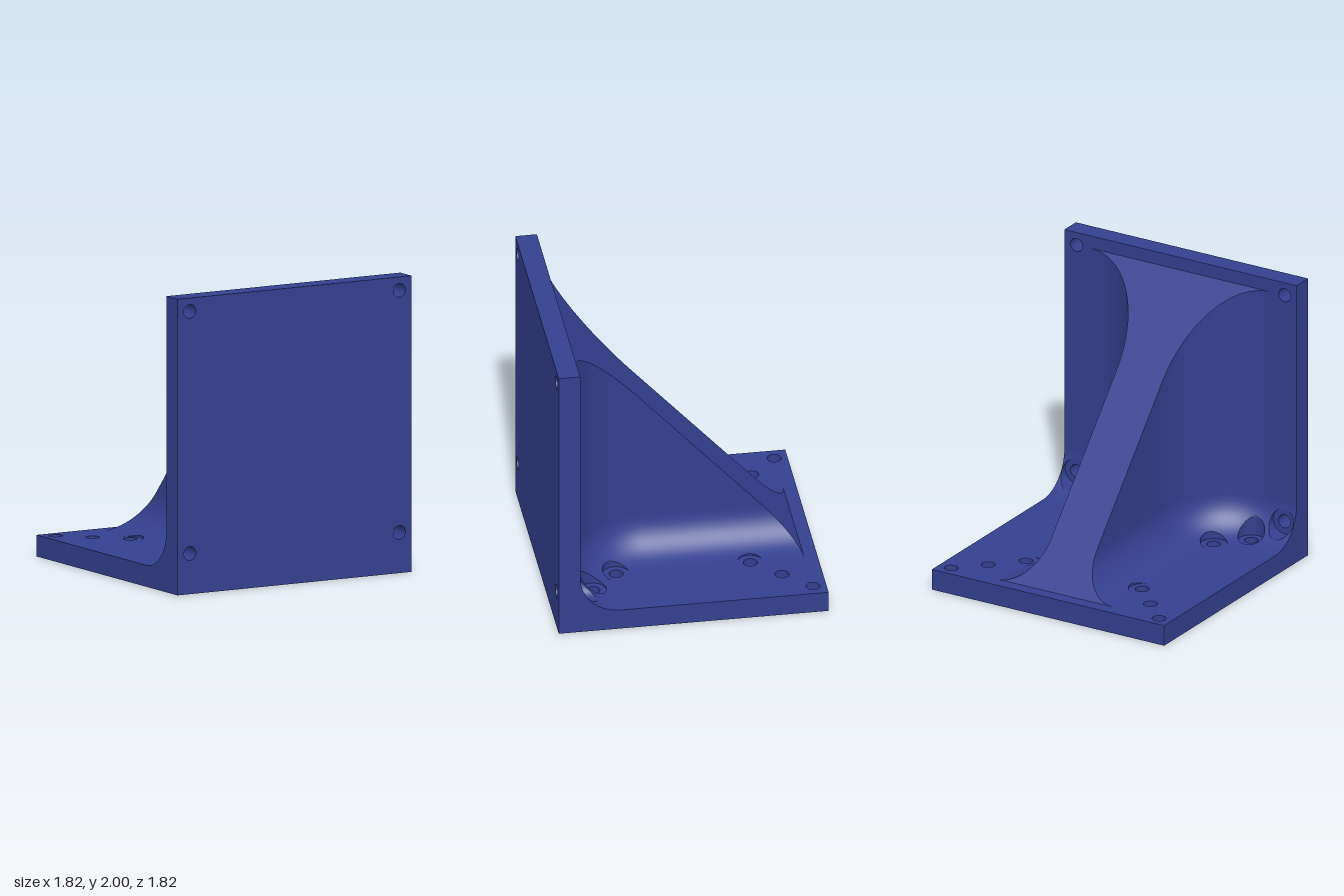
import * as THREE from 'three';

const W = 0.91, H = 2, FLOOR = 0.145, WALL = 0.765; // half width, height, base top, plate back
const RIB = 0.18, RB = 0.27, RA = 0.52;             // rib half width, floor fillet, corner radius
const CX = RIB + RA, CZ = WALL - RA;                // corner arc centre
const BACK = -0.82, TOP = 1.91;                     // ends of the sloped rib face
const K = (TOP - FLOOR) / (WALL - BACK);
const HOLE = 0.047, SPOT = 0.09, SIDES = 32, STEPS = 16;

// Holes on the +x half: a, b are x,z for the base and x,y for the plate
const holes = [
  { a: 0.815, b: -0.82 }, { a: 0.635, b: -0.64 },
  { a: 0.455, b: -0.455, spot: true }, { a: 0.455, b: 0.45, spot: true }, { a: 0.635, b: 0.635, spot: true },
  { a: 0.815, b: 1.91, plate: true }, { a: 0.815, b: 0.275, plate: true, spot: true },
];

// Vertices are [x, y, z, nx, ny, nz]
const mix = (p, q, t) => p.map((v, i) => v + (q[i] - v) * t);

// Splits a convex polygon by f: returns [part with f > 0, part with f <= 0]
function split(poly, f) {
  const out = [], inn = [];
  poly.forEach((p, i) => {
    const q = poly[(i + 1) % poly.length], fp = f(p), fq = f(q);
    (fp > 0 ? out : inn).push(p);
    if ((fp > 0) !== (fq > 0)) {
      const m = mix(p, q, fp / (fp - fq));
      out.push(m);
      inn.push(m);
    }
  });
  return [out, inn];
}

// Removes a cylinder from a list of polygons
function drill(polys, hole, r) {
  const sides = Array.from({ length: SIDES }, (_, i) => {
    const t = (i + 0.5) / SIDES * Math.PI * 2, c = Math.cos(t), s = Math.sin(t);
    return (v) => (v[0] - hole.a) * c + (v[hole.plate ? 1 : 2] - hole.b) * s - r * Math.cos(Math.PI / SIDES);
  });
  return polys.flatMap((poly) => {
    if (sides.some((f) => poly.every((v) => f(v) >= 0))) return [poly];
    const kept = [];
    let rest = poly;
    for (const f of sides) {
      const [out, inn] = split(rest, f);
      if (out.length > 2) kept.push(out);
      rest = inn;
      if (rest.length < 3) break;
    }
    return kept;
  });
}
const drillAll = (polys, spots) =>
  holes.reduce((list, h) => drill(list, h, spots && h.spot ? SPOT : HOLE), polys);

// Flat face from a 2D outline, placed by a function, with one normal
function face(outline, place, normal) {
  const pts = outline.map(([u, v]) => new THREE.Vector2(u, v));
  return THREE.ShapeUtils.triangulateShape(pts, [])
    .map((t) => t.map((i) => [...place(...outline[i]), ...normal]));
}
const rect = (u0, v0, u1, v1) => [[u0, v0], [u1, v0], [u1, v1], [u0, v1]];

// Quads between neighbouring rows of vertices
function skin(rows) {
  const list = [];
  for (let i = 0; i + 1 < rows.length; i++)
    for (let j = 0; j + 1 < rows[i].length; j++) {
      const a = rows[i][j], b = rows[i + 1][j], c = rows[i + 1][j + 1], d = rows[i][j + 1];
      list.push([a, b, c], [a, c, d]);
    }
  return list;
}

// Mesh of the +x half plus its mirror image; winding follows the normals
function mesh(name, polys, material) {
  const pos = [], nor = [];
  const A = new THREE.Vector3(), B = new THREE.Vector3(), C = new THREE.Vector3(), N = new THREE.Vector3();
  for (const side of [1, -1])
    for (const poly of polys)
      for (let i = 1; i + 1 < poly.length; i++) {
        let tri = [poly[0], poly[i], poly[i + 1]]
          .map((v) => [v[0] * side, v[1], v[2], v[3] * side, v[4], v[5]]);
        A.fromArray(tri[0]); B.fromArray(tri[1]).sub(A); C.fromArray(tri[2]).sub(A);
        B.cross(C);
        if (B.length() < 1e-12) continue;
        N.set(0, 0, 0);
        tri.forEach((v) => N.add(A.fromArray(v, 3)));
        if (B.dot(N) < 0) tri = [tri[0], tri[2], tri[1]];
        tri.forEach((v) => { pos.push(v[0], v[1], v[2]); nor.push(v[3], v[4], v[5]); });
      }
  const g = new THREE.BufferGeometry();
  g.setAttribute('position', new THREE.Float32BufferAttribute(pos, 3));
  g.setAttribute('normal', new THREE.Float32BufferAttribute(nor, 3));
  const m = new THREE.Mesh(g, material);
  m.name = name;
  return m;
}

// Rise of the floor fillet at distance d from the wall
const rise = (d) => (d >= RB ? 0 : RB - Math.sqrt(RB * RB - (RB - Math.max(d, 0)) ** 2));
const wallDistance = (x, z) => (z > CZ && x < CX ? RA - Math.hypot(x - CX, z - CZ) : Math.min(x - RIB, WALL - z));

// Walls of a hole, plus the flat seat and wall of its spotface
function bore(hole) {
  const ring = (r, depth) => Array.from({ length: SIDES + 1 }, (_, i) => {
    const t = i / SIDES * Math.PI * 2, c = Math.cos(t), s = Math.sin(t);
    const a = hole.a + r * c, b = hole.b + r * s, h = depth(a, b);
    return hole.plate ? [a, b, h, -c, -s, 0] : [a, h, b, -c, 0, -s];
  });
  const seat = hole.plate ? WALL : FLOOR;
  const list = skin([ring(HOLE, () => (hole.plate ? W : 0)), ring(HOLE, () => seat)]);
  if (hole.spot) {
    const surface = hole.plate ? (x, y) => WALL - rise(y - FLOOR) : (x, z) => FLOOR + rise(wallDistance(x, z));
    const flat = (r) => ring(r, () => seat).map((v) => [...v.slice(0, 3), ...(hole.plate ? [0, 0, -1] : [0, 1, 0])]);
    list.push(...skin([flat(HOLE), flat(SPOT)]), ...skin([ring(SPOT, () => seat), ring(SPOT, surface)]));
  }
  return list;
}

export function createModel() {
  const group = new THREE.Group();
  group.name = 'angleBracket';
  const material = new THREE.MeshStandardMaterial({ color: 0x34408f });
  const quarter = Array.from({ length: STEPS + 1 }, (_, i) => i / STEPS * Math.PI / 2);

  // Wall path along the rib, round the corner and across the plate: x, z, and normal
  const path = [
    [RIB, BACK, 1, 0],
    ...quarter.map((a) => [CX - RA * Math.cos(a), CZ + RA * Math.sin(a), Math.cos(a), -Math.sin(a)]),
    [W, WALL, 0, -1],
  ];

  // Pocket wall with its floor fillet, trimmed by the slope
  const profile = quarter.map((p) => [RB * (1 - Math.sin(p)), FLOOR + RB * (1 - Math.cos(p)), Math.sin(p), Math.cos(p)]);
  profile.push([0, TOP, 1, 0]);
  const pocket = skin(path.map(([x, z, nx, nz]) =>
    profile.map(([d, y, s, c]) => [x + nx * d, y, z + nz * d, nx * s, c, nz * s])))
    .map((p) => split(p, (v) => v[1] - FLOOR - K * (v[2] - BACK) - 1e-7)[1])
    .filter((p) => p.length > 2);
  group.add(mesh('pocketWalls', drillAll(pocket, true), material));

  // Sloped face of the rib, flaring at both ends
  const len = Math.hypot(1, K), slope = [0, 1 / len, -K / len];
  const edge = [
    ...quarter.map((p) => [RIB + RB * (1 - Math.sin(p)), BACK + RB * (1 - Math.cos(p)) / K]),
    ...quarter.map((a) => [CX - RA * Math.cos(a), CZ + RA * Math.sin(a)]),
  ];
  group.add(mesh('ribSlope', skin(edge.map(([x, z]) =>
    [0, x].map((u) => [u, FLOOR + K * (z - BACK), z, ...slope]))), material));

  // Base plate
  const atY = (y) => (x, z) => [x, y, z], atZ = (z) => (x, y) => [x, y, z];
  const floorEdge = path.map(([x, z, nx, nz]) => [x + nx * RB, z + nz * RB]);
  group.add(mesh('basePlate', [
    ...drillAll(face([...floorEdge, [W, BACK]], atY(FLOOR), [0, 1, 0]), true),
    ...drillAll(face(rect(0, -W, W, BACK), atY(FLOOR), [0, 1, 0]), true),
    ...drillAll(face(rect(0, -W, W, W), atY(0), [0, -1, 0]), false),
    ...face(rect(0, 0, W, FLOOR), atZ(-W), [0, 0, -1]),
  ], material));

  // Front plate
  group.add(mesh('frontPlate', [
    ...drillAll(face(rect(0, 0, W, H), atZ(W), [0, 0, 1]), false),
    ...drillAll(face(rect(0, TOP, W, H), atZ(WALL), [0, 0, -1]), false),
    ...face(rect(0, WALL, W, W), atY(H), [0, 1, 0]),
  ], material));

  // L-shaped ends
  const end = [[W, 0], [W, H], [WALL, H],
    ...profile.slice(0, -1).reverse().map(([d, y]) => [WALL - d, y]), [-W, FLOOR], [-W, 0]];
  group.add(mesh('sideFaces', face(end, (z, y) => [W, y, z], [1, 0, 0]), material));

  // Screw holes and their seats
  group.add(mesh('screwHoles', holes.flatMap(bore), material));
  return group;
}
